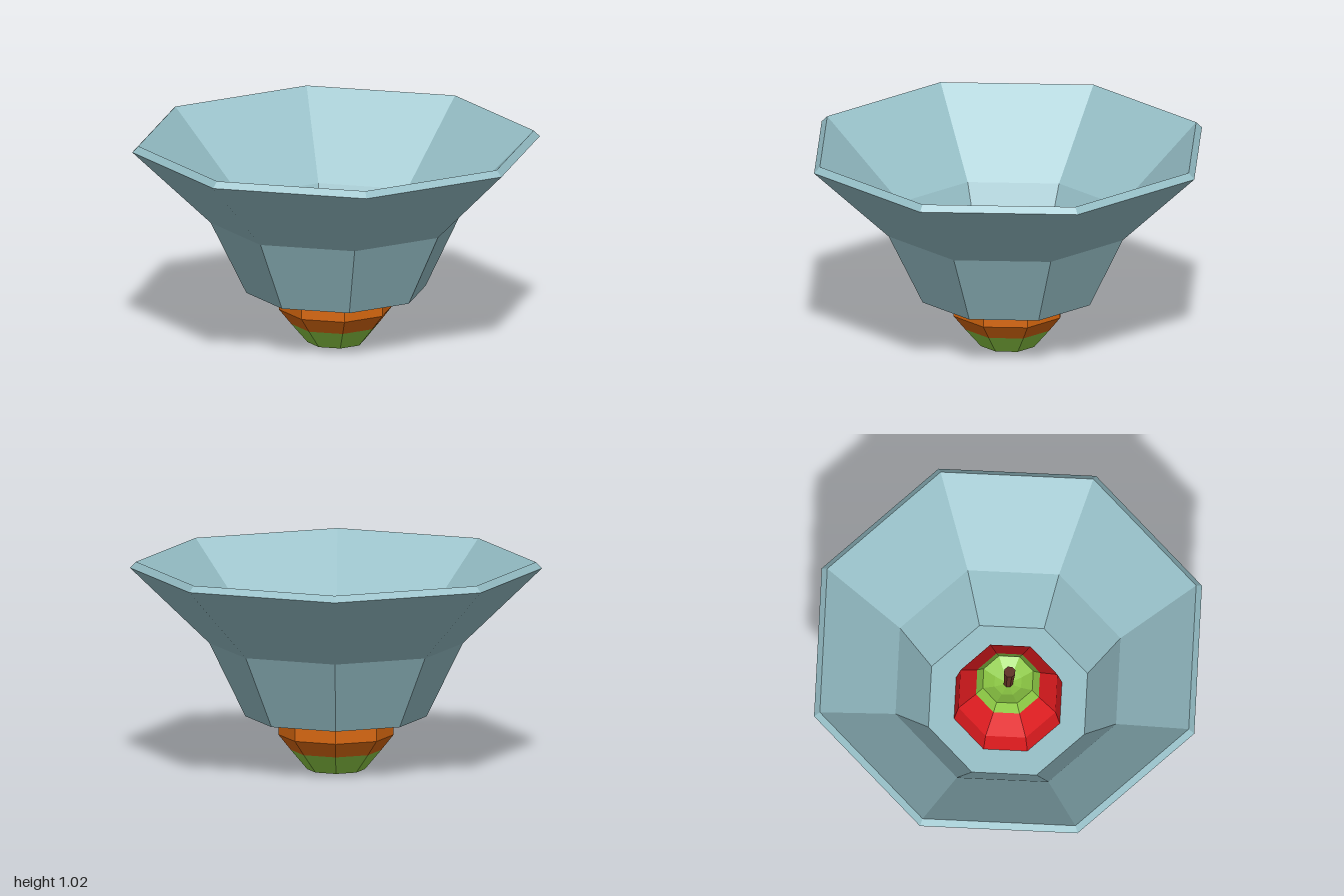
import * as THREE from 'three';

const mat = (color) => new THREE.MeshStandardMaterial({ color, flatShading: true });

// Faceted solid of revolution from [radius, height] pairs, corners on the x and z axes
function turned(name, profile, material, sides = 8) {
  const points = profile.map(([r, y]) => new THREE.Vector2(r, y));
  const mesh = new THREE.Mesh(new THREE.LatheGeometry(points, sides), material);
  mesh.name = name;
  return mesh;
}

export function createModel() {
  const model = new THREE.Group();
  model.name = 'fruitInBowl';

  const blue = mat(0x96bfc7);
  const orange = mat(0xd9680f);
  const red = mat(0xe01b1f);
  const green = mat(0x8ecb45);
  const brown = mat(0x5e2f22);

  // Flared bowl: underside, outer wall, bevelled rim, inner wall, floor
  model.add(turned('bowl', [
    [0, 0.26], [0.44, 0.26], [0.615, 0.62], [1, 0.99], [0.97, 1.02],
    [0.58, 0.635], [0.41, 0.29], [0, 0.29],
  ], blue));

  // Fruit in colour bands, passing through the bowl floor
  const fruit = new THREE.Group();
  fruit.name = 'fruit';
  fruit.add(
    turned('fruitBase', [[0, 0], [0.14, 0], [0.22, 0.095]], green),
    turned('fruitLowerBand', [[0.22, 0.095], [0.28, 0.17], [0.28, 0.28]], orange),
    turned('fruitUpperBand', [[0.28, 0.28], [0.255, 0.42], [0.165, 0.53]], red),
    // Shoulder with a dimple around the stem
    turned('fruitTop', [[0.165, 0.53], [0.13, 0.585], [0.07, 0.55], [0, 0.53]], green),
  );
  model.add(fruit);

  // Slightly leaning stem
  const stem = new THREE.Mesh(new THREE.CylinderGeometry(0.029, 0.023, 0.16, 8), brown);
  stem.name = 'stem';
  stem.position.set(-0.003, 0.6, 0.004);
  stem.rotation.set(0.05, 0, 0.03);
  model.add(stem);

  return model;
}
